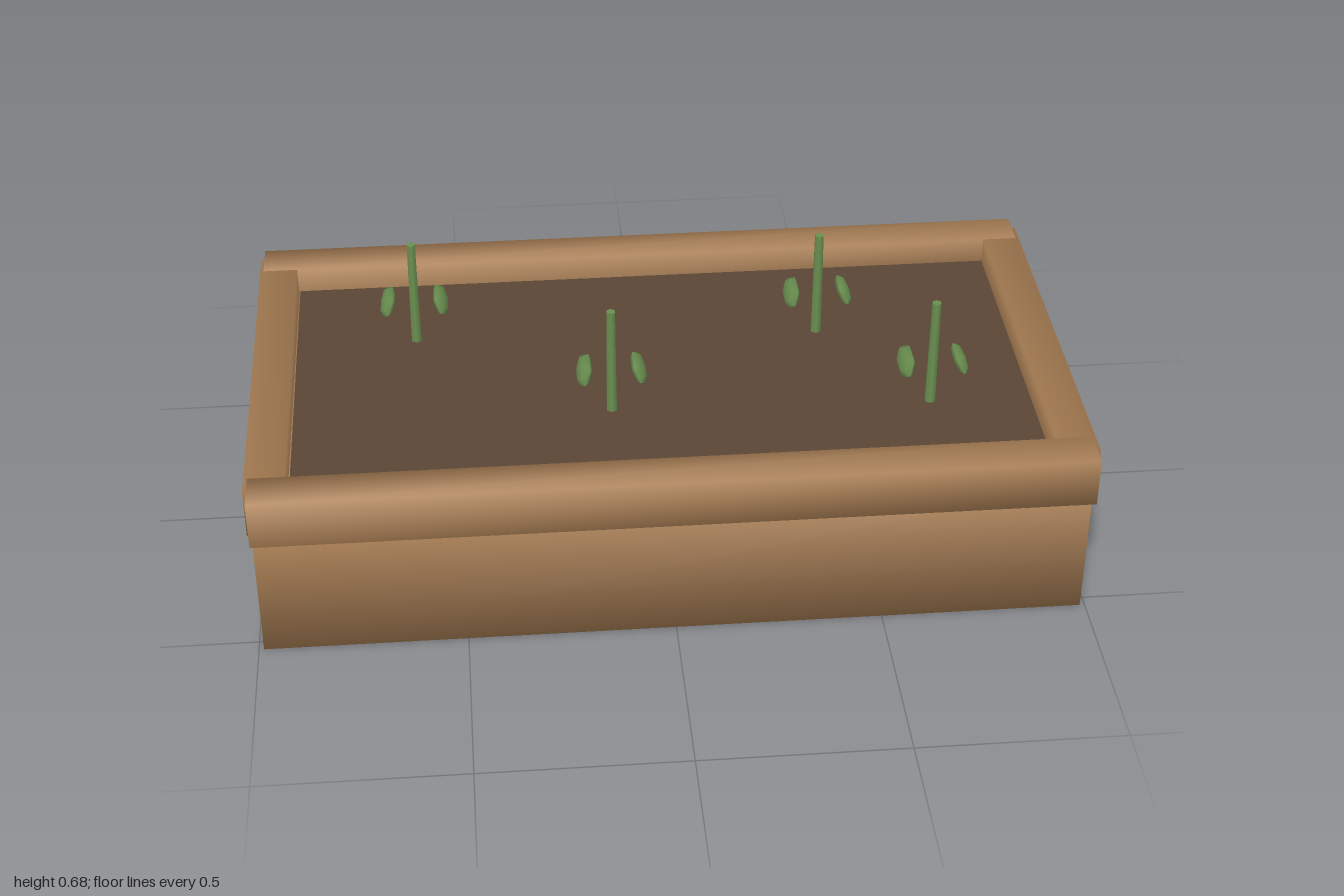
import * as THREE from 'three';
import { mergeVertices } from 'three/addons/utils/BufferGeometryUtils.js';

const wood = new THREE.MeshStandardMaterial({ color: 0xab8055 });
const earth = new THREE.MeshStandardMaterial({ color: 0x5a4636 });
const green = new THREE.MeshStandardMaterial({ color: 0x6a8f50 });

// Box with shared corners, so its shading rolls softly over the edges
function softBox(w, h, d) {
  const g = new THREE.BoxGeometry(w, h, d);
  g.deleteAttribute('normal');
  g.deleteAttribute('uv');
  const merged = mergeVertices(g);
  merged.computeVertexNormals();
  return merged;
}

function add(parent, name, geometry, material, x, y, z) {
  const mesh = new THREE.Mesh(geometry, material);
  mesh.name = name;
  mesh.position.set(x, y, z);
  parent.add(mesh);
  return mesh;
}

export function createModel() {
  const model = new THREE.Group();
  model.name = 'planterBox';

  // Wooden box and the soil filling it
  add(model, 'body', softBox(1.976, 0.38, 1.056), wood, 0, 0.19, 0);
  add(model, 'soil', new THREE.BoxGeometry(1.8, 0.1, 0.872), earth, 0, 0.348, 0);

  // Rim rails: long ones lie a hair proud of the side ones at the corners
  const longRail = softBox(1.984, 0.125, 0.1);
  const sideRail = softBox(0.095, 0.124, 1.02);
  for (const s of [1, -1]) {
    add(model, s > 0 ? 'frontRail' : 'backRail', longRail, wood, 0, 0.39, s * 0.505);
    add(model, s > 0 ? 'leftRail' : 'rightRail', sideRail, wood, s * 0.9525, 0.39, 0);
  }

  // Seedlings: a tapered stem with a pair of thin, tilted, six-sided leaves
  const stemGeo = new THREE.CylinderGeometry(0.0115, 0.014, 0.3, 6);
  const leafGeo = new THREE.SphereGeometry(1, 6, 4)
    .scale(0.068, 0.015, 0.03)
    .rotateY(Math.PI / 2)
    .rotateZ(Math.PI / 2);
  const spots = [[-0.599, -0.18], [-0.127, 0.167], [0.415, -0.139], [0.652, 0.194]];
  for (const [x, z] of spots) {
    const seedling = new THREE.Group();
    seedling.name = 'seedling';
    seedling.position.set(x, 0, z);
    add(seedling, 'stem', stemGeo, green, 0, 0.53, 0);
    for (const s of [1, -1]) {
      const leaf = add(seedling, s > 0 ? 'leftLeaf' : 'rightLeaf', leafGeo, green, s * 0.066, 0.516, 0);
      leaf.rotation.z = s * Math.PI / 6;
    }
    model.add(seedling);
  }
  return model;
}
